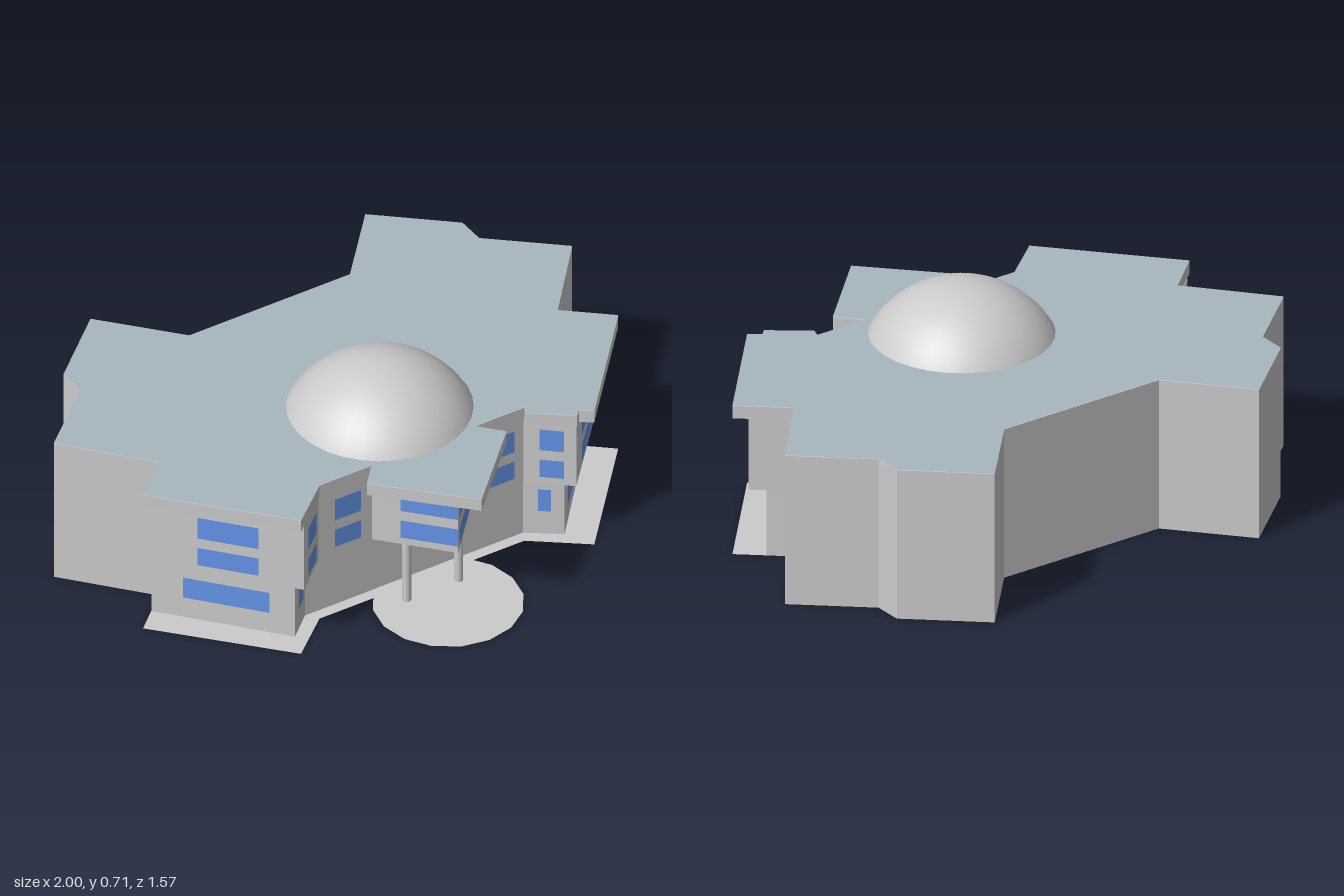
import * as THREE from 'three';

const grey = new THREE.MeshStandardMaterial({ color: 0xcccccc, side: THREE.DoubleSide, flatShading: true });
const smooth = new THREE.MeshStandardMaterial({ color: 0xcccccc });
const slate = new THREE.MeshStandardMaterial({ color: 0xa8b8c0 });
const blue = new THREE.MeshStandardMaterial({ color: 0x6595ea, side: THREE.DoubleSide });

// Rear walls shared by every storey, from the right wing round to the left, as [x, z]
const rear = [[0.77, -0.01], [1, -0.28], [0.77, -0.48], [0.77, -0.58], [0.53, -0.79], [0.31, -0.54],
  [-0.31, -0.54], [-0.53, -0.79], [-0.77, -0.58], [-0.77, -0.48], [-1, -0.28], [-0.77, -0.01]];

// Front walls of each storey, left of the page to right
const lowerFront = [[-0.835, 0.05], [-0.52, 0.42], [-0.43, 0.34], [0.41, 0.34], [0.52, 0.42], [0.835, 0.05]];
const upperFront = [[-0.88, 0.085], [-0.53, 0.49], [-0.4, 0.375], [-0.195, 0.375], [0, 0.59],
  [0.195, 0.375], [0.39, 0.375], [0.52, 0.49], [0.88, 0.085]];
const roofFront = [[-0.91, 0.115], [-0.555, 0.51], [-0.4, 0.38], [-0.2, 0.38], [-0.265, 0.455], [0, 0.73],
  [0.27, 0.46], [0.2, 0.38], [0.39, 0.38], [0.38, 0.41], [0.51, 0.51], [0.53, 0.49], [0.57, 0.52], [0.92, 0.12]];
const groundFront = [[-0.91, 0.115], [-0.555, 0.51], [-0.4, 0.38], [0.39, 0.38], [0.57, 0.52], [0.92, 0.12]];

function outline(front) {
  return new THREE.Shape([...front, ...rear].map(([x, z]) => new THREE.Vector2(x, -z)));
}

function add(group, name, geometry, material) {
  const mesh = new THREE.Mesh(geometry, material);
  mesh.name = name;
  group.add(mesh);
  return mesh;
}

function storey(group, name, front, y0, y1) {
  const geo = new THREE.ExtrudeGeometry(outline(front), { depth: y1 - y0, bevelEnabled: false });
  add(group, name, geo.rotateX(-Math.PI / 2).translate(0, y0, 0), grey);
}

function sheet(group, name, front, y, material) {
  add(group, name, new THREE.ShapeGeometry(outline(front)).rotateX(-Math.PI / 2).translate(0, y, 0), material);
}

// Pane lying just proud of the wall from a to b, spanning x0..x1 and y0..y1
function pane(group, [ax, az], [bx, bz], x0, x1, y0, y1) {
  const dx = bx - ax, dz = bz - az, len = Math.hypot(dx, dz);
  const nx = -dz / len, nz = dx / len, x = (x0 + x1) / 2;
  const z = az + (x - ax) / dx * dz;
  const mesh = add(group, 'window', new THREE.PlaneGeometry((x1 - x0) * len / dx, y1 - y0), blue);
  mesh.position.set(x + nx * 0.004, (y0 + y1) / 2, z + nz * 0.004);
  mesh.rotation.y = Math.atan2(nx, nz);
}

export function createModel() {
  const group = new THREE.Group();
  group.name = 'domedBuilding';

  // Storeys, each stepping out over the one below
  storey(group, 'groundFloor', lowerFront, 0, 0.235);
  storey(group, 'upperFloors', upperFront, 0.235, 0.49);
  storey(group, 'roofSlab', roofFront, 0.49, 0.535);
  sheet(group, 'roofSurface', roofFront, 0.537, slate);

  // Paving
  sheet(group, 'groundSheet', groundFront, 0, grey);
  add(group, 'entrancePlaza', new THREE.CircleGeometry(0.248, 16).rotateX(-Math.PI / 2).translate(0, 0.001, 0.53), grey);

  // Dome: a spherical cap
  const R = 0.353;
  const dome = add(group, 'dome', new THREE.SphereGeometry(R, 32, 12, 0, Math.PI * 2, 0, 1.045), smooth);
  dome.position.set(0, 0.712 - R, 0.12);

  // Columns below the projecting entrance bay
  for (const x of [-0.105, 0.095]) {
    add(group, 'column', new THREE.CylinderGeometry(0.015, 0.015, 0.235, 16), smooth).position.set(x, 0.1175, 0.445);
  }

  // Upper windows: [wall index, x0, x1], two rows each
  const windows = new THREE.Group();
  windows.name = 'windows';
  group.add(windows);
  const upper = [[0, -0.765, -0.63], [1, -0.5, -0.43], [2, -0.34, -0.24], [3, -0.13, 0],
    [4, 0, 0.14], [5, 0.26, 0.353], [6, 0.43, 0.49], [7, 0.582, 0.812]];
  for (const [i, x0, x1] of upper) {
    for (const [y0, y1] of [[0.37, 0.453], [0.263, 0.332]]) {
      pane(windows, upperFront[i], upperFront[i + 1], x0, x1, y0, y1);
    }
  }

  // Ground floor windows
  const lower = [[0, -0.765, -0.575, 0.08, 0.16], [1, -0.495, -0.455, 0.09, 0.163],
    [3, 0.45, 0.485, 0.092, 0.178], [4, 0.553, 0.795, 0.075, 0.176]];
  for (const [i, ...span] of lower) pane(windows, lowerFront[i], lowerFront[i + 1], ...span);

  return group;
}
